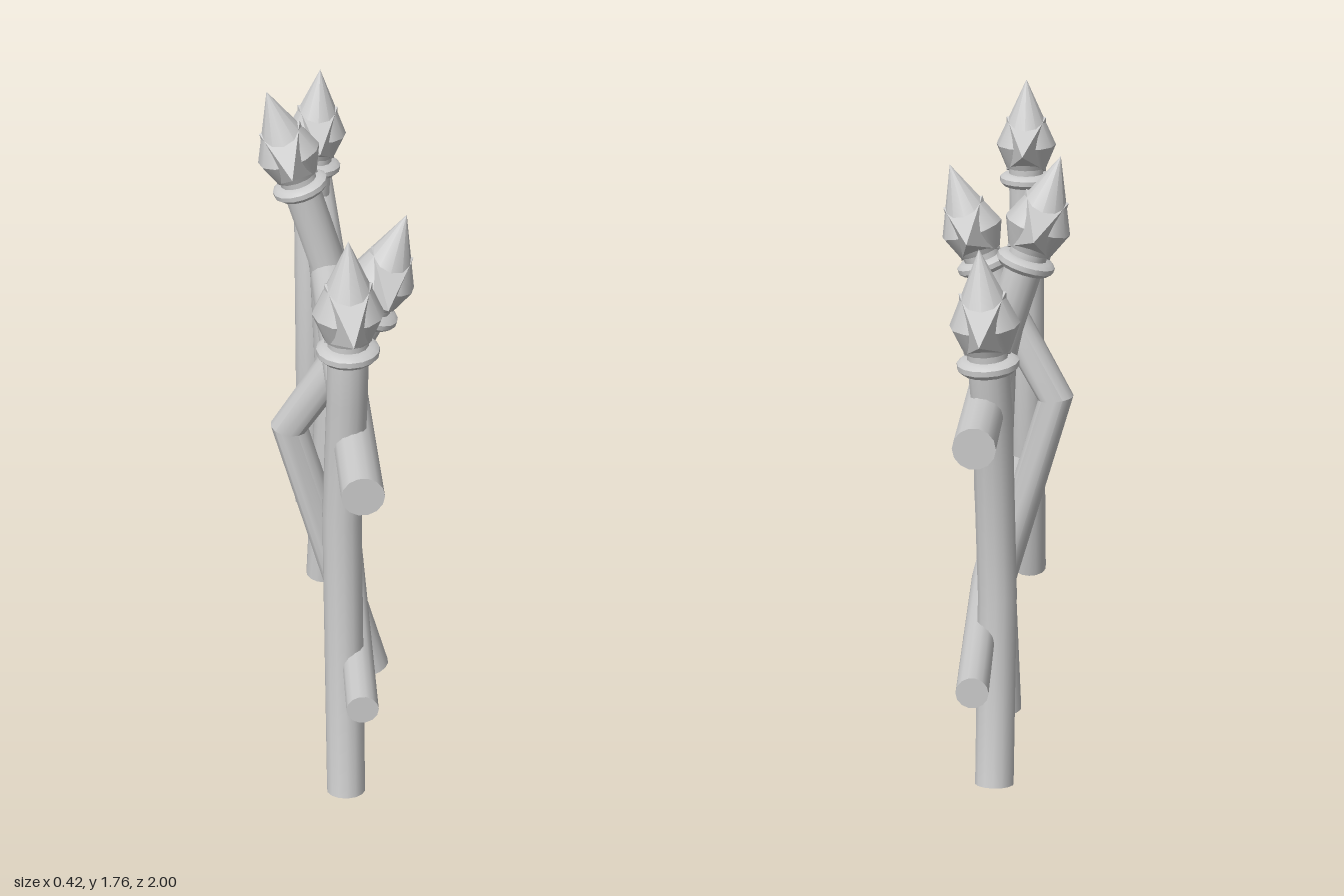
import * as THREE from 'three';
import { toCreasedNormals } from 'three/addons/utils/BufferGeometryUtils.js';

const V = (x, y, z) => new THREE.Vector3(x, y, z);
const material = new THREE.MeshStandardMaterial({ color: 0xcccccc });

function part(name, geometry, parent) {
  const mesh = new THREE.Mesh(geometry, material);
  mesh.name = name;
  parent.add(mesh);
  return mesh;
}

// Round bar through a few points, with mitred bends and flat ends
function bar(points, radius, side) {
  const n = points.length - 1;
  const geo = new THREE.CylinderGeometry(radius, radius, 1, 14, n);
  const frames = points.map((p, i) => {
    const before = p.clone().sub(points[Math.max(i - 1, 0)]).normalize();
    const after = points[Math.min(i + 1, n)].clone().sub(p).normalize();
    const t = before.add(after).normalize();
    const u = t.clone().cross(side).normalize();
    return { p, u, v: u.clone().cross(t) };
  });
  const pos = geo.attributes.position;
  for (let k = 0; k < pos.count; k++) {
    const f = frames[Math.round((pos.getY(k) + 0.5) * n)];
    const q = f.p.clone().addScaledVector(f.u, pos.getX(k)).addScaledVector(f.v, pos.getZ(k));
    pos.setXYZ(k, q.x, q.y, q.z);
  }
  return toCreasedNormals(geo, 0.6);
}

function lathe(profile, sides) {
  const geo = new THREE.LatheGeometry(profile.map(([x, y]) => new THREE.Vector2(x, y)), sides);
  return toCreasedNormals(geo, 0.6);
}

// Collar, pointed head and two side spikes; origin at the collar
function finial() {
  const group = new THREE.Group();
  group.name = 'finial';
  part('collar', lathe([[0.05, -0.022], [0.072, -0.02], [0.085, -0.007], [0.085, 0.008],
    [0.072, 0.018], [0.05, 0.02]], 16), group);
  part('spearHead', lathe([[0, 0.035], [0.065, 0.04], [0.096, 0.115], [0, 0.325]], 12), group);
  for (const s of [1, -1]) {
    const geo = new THREE.ConeGeometry(0.125, 0.193, 4).toNonIndexed();
    geo.rotateY(Math.PI / 4);
    geo.translate(0, 0.0965, 0);
    geo.scale(0.72, 1, 1);
    geo.rotateX(s * Math.PI / 2);
    geo.computeVertexNormals();
    part('sideSpike', geo, group).position.y = 0.115;
  }
  return group;
}

export function createModel() {
  const fence = new THREE.Group();
  fence.name = 'fence';

  // Posts: path from the ground to the collar, and the lean of the head
  const posts = [
    { path: [[-0.03, 0.01, 0.845], [-0.03, 0.85, 0.67], [-0.022, 1.28, 0.74], [-0.02, 1.42, 0.735]], lean: [0, 1, 0] },
    { path: [[0.095, 0, 0.245], [-0.15, 0.86, 0.195], [0.02, 1.15, 0.25], [0.078, 1.27, 0.262]], lean: [0.32, 0.95, 0] },
    { path: [[-0.02, 0.01, -0.255], [0.012, 0.73, -0.235], [-0.005, 1.17, -0.25], [-0.085, 1.425, -0.257]], lean: [-0.3, 0.95, 0] },
    { path: [[-0.03, 0, -0.718], [-0.03, 0.54, -0.6], [-0.025, 1.13, -0.705], [-0.015, 1.27, -0.722]], lean: [0.07, 1, -0.04] },
  ];
  for (const { path, lean } of posts) {
    const dir = V(...lean).normalize();
    const points = path.map((p) => V(...p));
    const top = points[points.length - 1];
    points.push(top.clone().addScaledVector(dir, 0.06));
    part('post', bar(points, 0.056, V(0, 0, 1)), fence);

    const head = finial();
    head.position.copy(top);
    head.quaternion.setFromUnitVectors(V(0, 1, 0), dir);
    fence.add(head);
  }

  // Rails
  part('upperRail', bar([V(0, 1.127, 1), V(0, 1.127, -1)], 0.058, V(1, 0, 0)), fence);
  part('lowerRail', bar([V(0.003, 0.422, 1), V(0.033, 0.422, -0.2), V(0.008, 0.422, -1)], 0.045, V(1, 0, 0)), fence);

  return fence;
}
